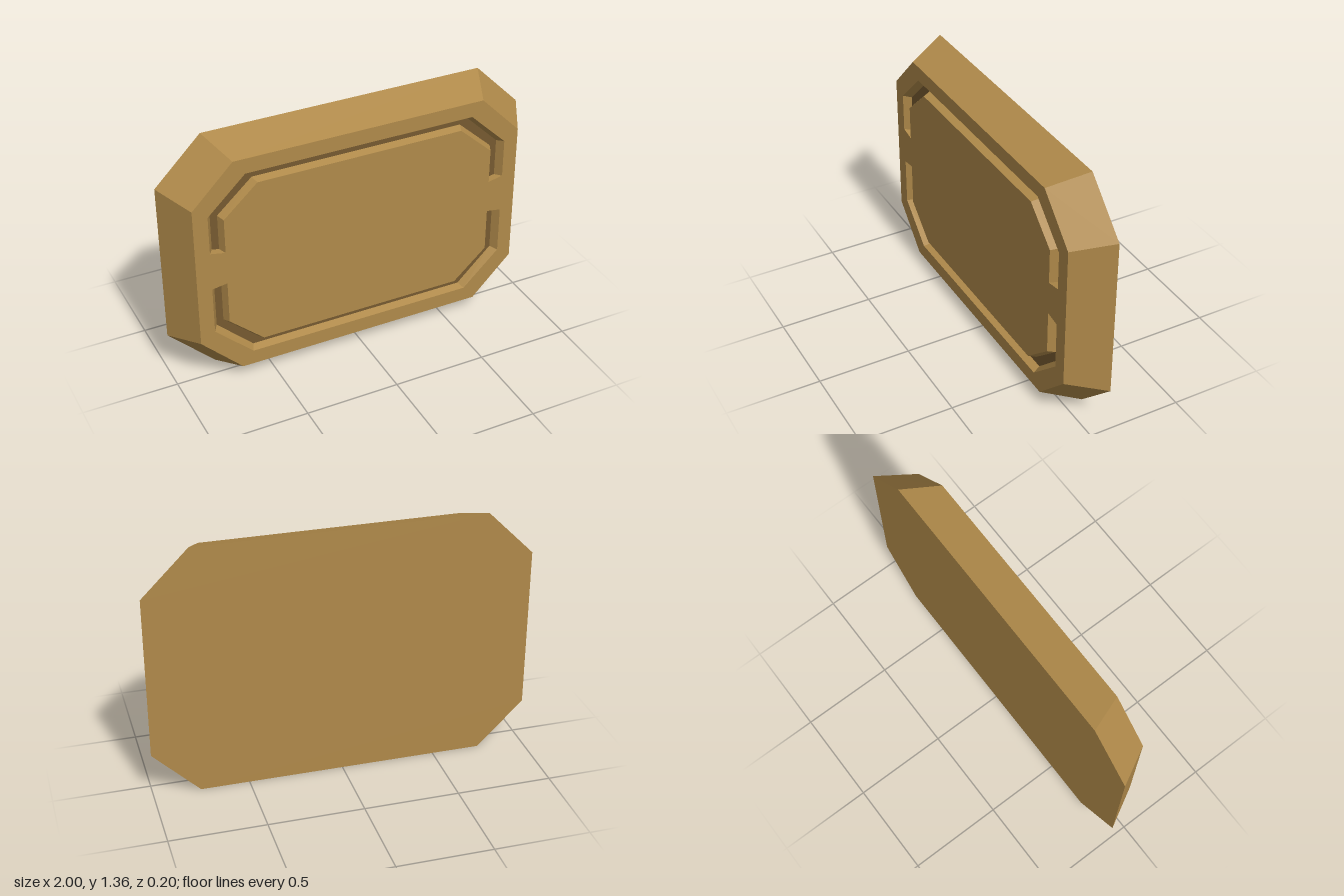
import * as THREE from 'three';

const CY = 0.678, BACK = -0.1, FRONT = 0.1, FLOOR = 0.06;

const toVec = (pts) => pts.map(([x, y]) => new THREE.Vector2(x, y + CY));

// Octagon with cut corners, counter-clockwise
function octagon(w, h, cx, cy) {
  return toVec([[w, -cy], [w, cy], [cx, h], [-cx, h], [-w, cy], [-w, -cy], [-cx, -h], [cx, -h]]);
}

// Sloped band joining two matching loops at different depths
function band(a, za, b, zb) {
  const p = [];
  a.forEach((a0, i) => {
    const j = (i + 1) % a.length, a1 = a[j], b0 = b[i], b1 = b[j];
    p.push(a0.x, a0.y, za, a1.x, a1.y, za, b1.x, b1.y, zb);
    p.push(a0.x, a0.y, za, b1.x, b1.y, zb, b0.x, b0.y, zb);
  });
  const g = new THREE.BufferGeometry();
  g.setAttribute('position', new THREE.Float32BufferAttribute(p, 3));
  g.computeVertexNormals();
  return g;
}

// Half of one side of a groove: end height, corner, and top run
const rail = (x, end, cornerY, cornerX, top) =>
  [[x, end], [x, cornerY], [cornerX, top], [-cornerX, top], [-x, cornerY], [-x, end]];

// Closed C-shaped loop; sign -1 flips it to the lower half
function grooveLoop(outer, inner, sign) {
  const pts = [...rail(...outer), ...rail(...inner).reverse()].map(([x, y]) => [x, y * sign]);
  return toVec(sign < 0 ? pts.reverse() : pts);
}

export function createModel() {
  const group = new THREE.Group();
  const wood = new THREE.MeshStandardMaterial({ color: 0xb08a4a });
  wood.name = 'tan';
  const dark = new THREE.MeshStandardMaterial({ color: 0x765a30 });
  dark.name = 'dark tan';

  const add = (name, geometry, material, z = 0) => {
    const mesh = new THREE.Mesh(geometry, material);
    mesh.name = name;
    mesh.position.z = z;
    group.add(mesh);
    return mesh;
  };

  // Tapered plaque body
  const backLoop = octagon(1, 0.678, 0.755, 0.434);
  const frontLoop = octagon(0.892, 0.606, 0.675, 0.388);
  add('bevelledSides', band(backLoop, BACK, frontLoop, FRONT), wood);

  const back = new THREE.ShapeGeometry(new THREE.Shape(backLoop));
  back.rotateY(Math.PI);
  add('backFace', back, wood, BACK);

  // Front face with the upper and lower grooves cut into it
  const face = new THREE.Shape(frontLoop);
  for (const [name, sign, e0, e1] of [['upper', 1, 0.129, 0.113], ['lower', -1, 0.079, 0.067]]) {
    const mid = (t) => e0 + (e1 - e0) * t;
    const rim = grooveLoop([0.815, e0, 0.336, 0.615, 0.526], [0.735, e1, 0.3, 0.555, 0.462], sign);
    const floor = grooveLoop([0.79, mid(0.3), 0.328, 0.6, 0.512], [0.753, mid(0.75), 0.308, 0.568, 0.475], sign);
    face.holes.push(new THREE.Path(rim));
    add(name + 'GrooveWalls', band(rim, FRONT, floor, FLOOR), wood);
    add(name + 'GrooveFloor', new THREE.ShapeGeometry(new THREE.Shape(floor)), dark, FLOOR);
  }
  add('frontFace', new THREE.ShapeGeometry(face), wood, FRONT);

  return group;
}
